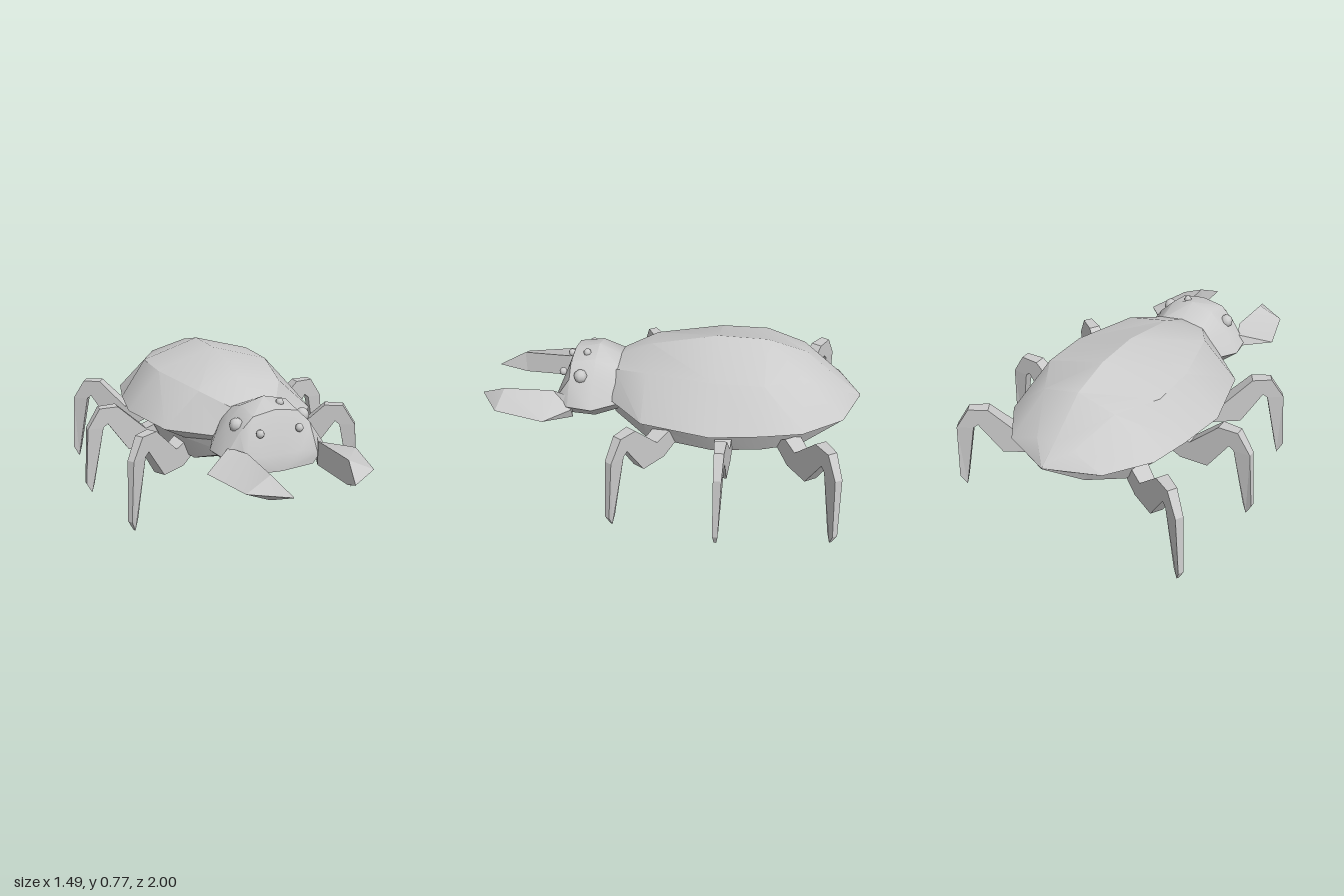
import * as THREE from 'three';
import { toCreasedNormals } from 'three/addons/utils/BufferGeometryUtils.js';

const material = new THREE.MeshStandardMaterial({ color: 0xcccccc });

// Skins closed rings of [x, y, z] points (counter-clockwise seen from +z, ordered back to front)
function loft(rings, crease = 0.5) {
  const n = rings[0].length;
  const index = [];
  for (let i = 0; i < rings.length - 1; i++) {
    for (let j = 0; j < n; j++) {
      const k = (j + 1) % n;
      const a = i * n + j, b = i * n + k, c = b + n, d = a + n;
      index.push(a, b, c, a, c, d);
    }
  }
  const last = (rings.length - 1) * n;
  for (let j = 1; j < n - 1; j++) {
    index.push(0, j + 1, j, last, last + j, last + j + 1);
  }
  const geo = new THREE.BufferGeometry();
  geo.setAttribute('position', new THREE.Float32BufferAttribute(rings.flat(2), 3));
  geo.setIndex(index);
  return toCreasedNormals(geo, crease);
}

// Full ring from the +x half of a cross-section, listed bottom to top
function symmetricRing(z, half) {
  const mirrored = half.filter(p => p[0] > 0).reverse().map(([x, y]) => [-x, y]);
  return [...half, ...mirrored].map(([x, y]) => [x, y, z]);
}

function addMesh(parent, name, geometry) {
  const mesh = new THREE.Mesh(geometry, material);
  mesh.name = name;
  parent.add(mesh);
  return mesh;
}

// Domed shell and belly: z, rim x, shoulder x, shoulder y, top y, belly y
function bodyGeometry() {
  const stations = [
    [-1.0, 0.005, 0.003, 0.473, 0.475, 0.465],
    [-0.9, 0.26, 0.1, 0.54, 0.55, 0.39],
    [-0.7, 0.41, 0.2, 0.66, 0.71, 0.28],
    [-0.5, 0.46, 0.32, 0.67, 0.765, 0.245],
    [-0.25, 0.5, 0.32, 0.67, 0.77, 0.235],
    [0.1, 0.42, 0.23, 0.65, 0.7, 0.26],
    [0.28, 0.23, 0.12, 0.6, 0.62, 0.34]
  ];
  return loft(stations.map(([z, rim, sx, sy, top, low]) => symmetricRing(z, [
    [0, low],
    [rim * 0.62, low + (0.47 - low) * 0.13],
    [rim * 0.75, low + (0.47 - low) * 0.72],
    [rim, 0.47],
    [sx, sy],
    [0, top]
  ])));
}

function headGeometry() {
  return loft([
    symmetricRing(0.25, [[0, 0.37], [0.16, 0.39], [0.22, 0.45], [0.17, 0.55], [0.12, 0.6], [0, 0.62]]),
    symmetricRing(0.38, [[0, 0.335], [0.2, 0.36], [0.29, 0.44], [0.2, 0.57], [0.12, 0.65], [0, 0.68]]),
    symmetricRing(0.51, [[0, 0.335], [0.19, 0.36], [0.27, 0.44], [0.19, 0.56], [0.12, 0.63], [0, 0.65]]),
    symmetricRing(0.59, [[0, 0.36], [0.17, 0.37], [0.2, 0.41], [0.19, 0.44], [0.1, 0.45], [0, 0.45]])
  ], 0.6);
}

// Wedge-shaped pincer: tall inner face and a sharp outer ridge
function pincerGeometry(side) {
  const stations = [
    // inner x, inner z, outer x, outer z, half height
    [0.24, 0.49, 0.27, 0.49, 0.06],
    [0.19, 0.6, 0.4, 0.61, 0.062],
    [0.2, 0.86, 0.33, 0.88, 0.062],
    [0.155, 0.995, 0.158, 0.995, 0.002]
  ];
  const rings = stations.map(([ix, iz, ox, oz, h]) => {
    const ring = [[ix, 0.425 - h, iz], [ox, 0.425, oz], [ix, 0.425 + h, iz]];
    return side > 0 ? ring : ring.reverse().map(([x, y, z]) => [-x, y, z]);
  });
  return loft(rings, 0.35);
}

// Bent leg: side outline extruded, then thinned towards the foot
function legGeometry() {
  const outline = [
    [0.22, 0.31], [0.35, 0.235], [0.5, 0.235], [0.61, 0.4], [0.635, 0.38],
    [0.7, 0.06], [0.715, 0], [0.745, 0.06], [0.72, 0.38], [0.65, 0.49],
    [0.55, 0.49], [0.4, 0.345], [0.315, 0.375]
  ].map(p => new THREE.Vector2(...p));
  const geo = new THREE.ExtrudeGeometry(new THREE.Shape(outline), { depth: 1, bevelEnabled: false });
  const pos = geo.attributes.position;
  for (let i = 0; i < pos.count; i++) {
    const x = pos.getX(i), y = pos.getY(i);
    let width = THREE.MathUtils.mapLinear(x, 0.22, 0.72, 0.1, 0.04);
    if (x > 0.69 && y < 0.1) width = 0.012 + y * 0.25;
    pos.setZ(i, (pos.getZ(i) - 0.5) * width);
  }
  geo.computeVertexNormals();
  return geo;
}

export function createModel() {
  const model = new THREE.Group();
  model.name = 'beetle';

  addMesh(model, 'body', bodyGeometry());
  addMesh(model, 'head', headGeometry());

  // Legs: name, root x, root z, forward swing
  const leg = legGeometry();
  const legs = [['front', 0.034, -0.16, 0.56], ['middle', 0, -0.31, 0], ['rear', 0.034, -0.49, -0.56]];
  for (const side of [1, -1]) {
    const label = side > 0 ? 'Left' : 'Right';
    addMesh(model, 'pincer' + label, pincerGeometry(side));
    for (const [name, x, z, swing] of legs) {
      const mesh = addMesh(model, name + 'Leg' + label, leg);
      mesh.position.set(side * x, 0, z);
      mesh.rotation.y = side > 0 ? -swing : Math.PI + swing;
    }
  }

  // Eyes: a large and a small pair, and a single one on the crown
  const eyes = [
    [0.18, 0.578, 0.45, 0.036], [-0.18, 0.578, 0.45, 0.036],
    [0.105, 0.558, 0.56, 0.021], [-0.105, 0.558, 0.56, 0.021],
    [0.06, 0.655, 0.435, 0.021]
  ];
  for (const [x, y, z, r] of eyes) {
    const eye = addMesh(model, 'eye', new THREE.SphereGeometry(r, 8, 6));
    eye.position.set(x, y, z);
  }
  return model;
}
